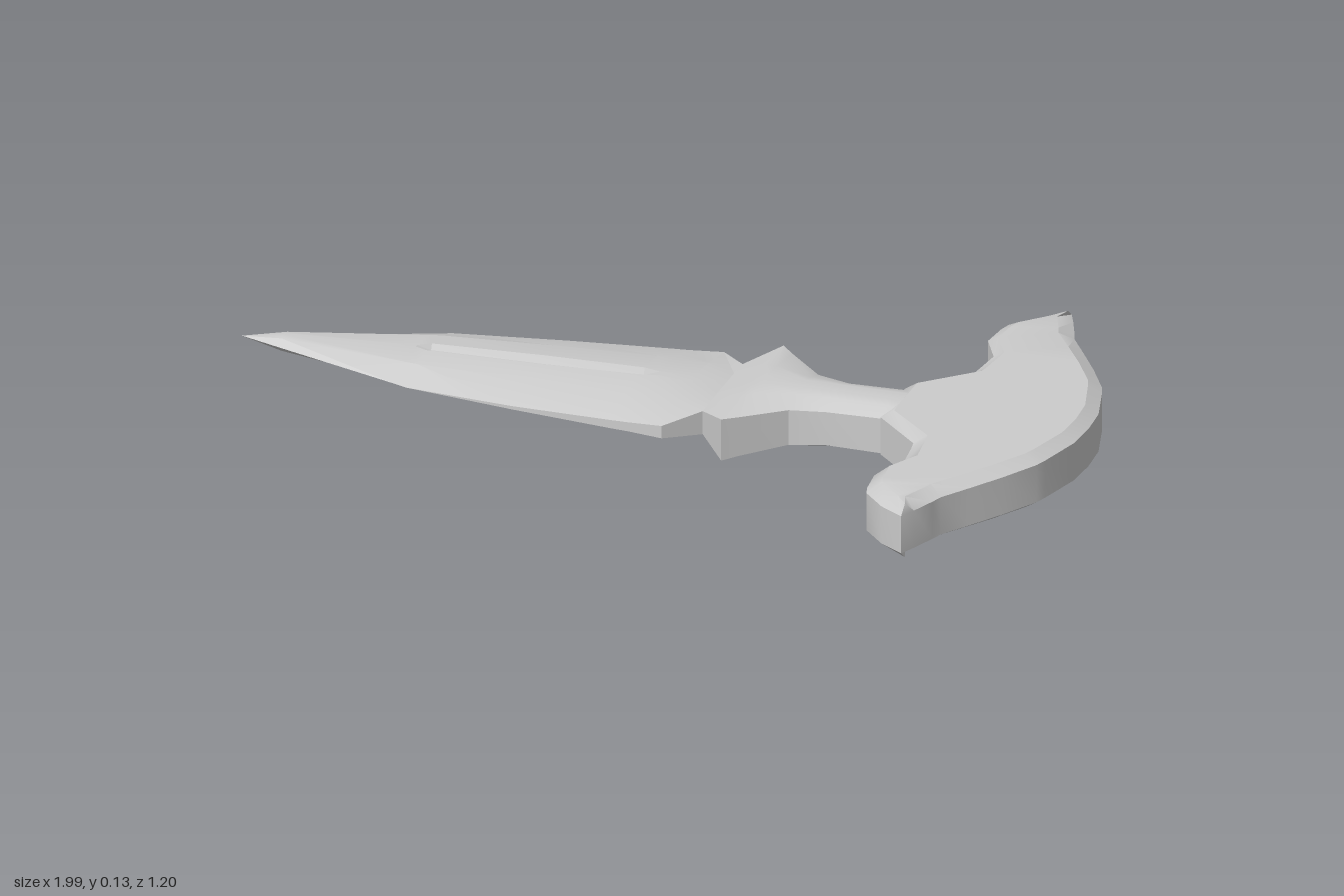
import * as THREE from 'three';
import { toCreasedNormals } from 'three/addons/utils/BufferGeometryUtils.js';

const MID = 0.065; // height of the horizontal symmetry plane

// Skin a list of closed rings of [x, y, z] points
function loft(rings, crease) {
  const n = rings[0].length, index = [];
  for (let i = 0; i < rings.length - 1; i++) {
    for (let j = 0; j < n; j++) {
      const k = (j + 1) % n;
      const a = i * n + j, b = i * n + k, c = a + n, d = b + n;
      index.push(a, b, d, a, d, c);
    }
  }
  const g = new THREE.BufferGeometry();
  g.setAttribute('position', new THREE.Float32BufferAttribute(rings.flat(2), 3));
  g.setIndex(index);
  return toCreasedNormals(g, crease);
}

// Mirror a quarter profile of [z, y] points (centre to edge) into a full ring
function bodyRing(x, q) {
  const side = (pts, sz, sy) => pts.map(([z, y]) => [x, MID + sy * y, sz * z]);
  const rev = [...q].reverse(), outer = q.slice(1);
  return [
    ...side(q, 1, 1), ...side(rev, 1, -1),
    ...side(outer, -1, -1), ...side([...outer].reverse(), -1, 1),
  ];
}

// x, groove half width, groove depth, ridge height, shoulder z, shoulder height, edge z, edge height
function section([x, g, depth, ridge, m, h, w, e]) {
  return bodyRing(x, [
    [0, ridge - depth], [g * 0.7, ridge - depth], [g, ridge], [m, h], [w, e],
  ]);
}

export function createModel() {
  const model = new THREE.Group();
  const steel = new THREE.MeshStandardMaterial({ color: 0xcccccc });
  steel.name = 'light grey steel';
  const add = (name, geometry) => {
    const mesh = new THREE.Mesh(geometry, steel);
    mesh.name = name;
    model.add(mesh);
  };

  // Double-edged blade with a fuller on both faces
  const blade = [
    [-1, 0, 0, 0, 0, 0, 0, 0],
    [-0.9, 0.004, 0, 0.018, 0.02, 0.015, 0.037, 0],
    [-0.59, 0.005, 0, 0.031, 0.08, 0.025, 0.15, 0],
    [-0.56, 0.02, 0.014, 0.033, 0.085, 0.026, 0.162, 0],
    [-0.3, 0.025, 0.018, 0.038, 0.1, 0.031, 0.195, 0.004],
    [-0.06, 0.02, 0.016, 0.043, 0.108, 0.036, 0.213, 0.01],
    [-0.02, 0.012, 0, 0.043, 0.11, 0.036, 0.215, 0.011],
    [0.06, 0.02, 0, 0.042, 0.11, 0.034, 0.22, 0.015],
    [0.13, 0.02, 0, 0.03, 0.08, 0.03, 0.14, 0.028],
  ];
  add('blade', loft(blade.map(section), 0.2));

  // Pointed guard flowing into the rounded grip
  const grip = [
    [0.13, 0.02, 0, 0.03, 0.08, 0.03, 0.14, 0.028],
    [0.2, 0.02, 0, 0.054, 0.1, 0.054, 0.22, 0.05],
    [0.23, 0.02, 0, 0.063, 0.08, 0.061, 0.19, 0.047],
    [0.32, 0.02, 0, 0.064, 0.05, 0.059, 0.105, 0.042],
    [0.4, 0.02, 0, 0.064, 0.045, 0.058, 0.085, 0.04],
    [0.53, 0.02, 0, 0.064, 0.045, 0.058, 0.085, 0.042],
    [0.6, 0.02, 0, 0.064, 0.07, 0.062, 0.14, 0.044],
  ];
  add('guardAndGrip', loft(grip.map(section), 0.5));

  // Crescent handle with bevelled rims: z, inner x, outer x
  const half = [
    [0, 0.53, 0.99], [0.085, 0.53, 0.985], [0.2, 0.645, 0.955], [0.23, 0.65, 0.945],
    [0.32, 0.66, 0.895], [0.4, 0.62, 0.845], [0.47, 0.627, 0.8],
    [0.5, 0.635, 0.79], [0.56, 0.69, 0.767], [0.6, 0.75, 0.75],
  ];
  const stations = [
    ...half.slice(1).reverse().map(([z, a, b]) => [-z, a, b]), ...half,
  ];
  const handle = stations.map(([z, a, b]) => {
    const inset = Math.min(0.03, (b - a) / 2);
    const zi = z * 0.955;
    return [
      [b, 0.02, z], [b, 0.11, z], [b - inset, 0.13, zi], [a + inset, 0.13, zi],
      [a, 0.11, z], [a, 0.02, z], [a + inset, 0, zi], [b - inset, 0, zi],
    ];
  });
  add('crescentHandle', loft(handle, 0.5));

  return model;
}
